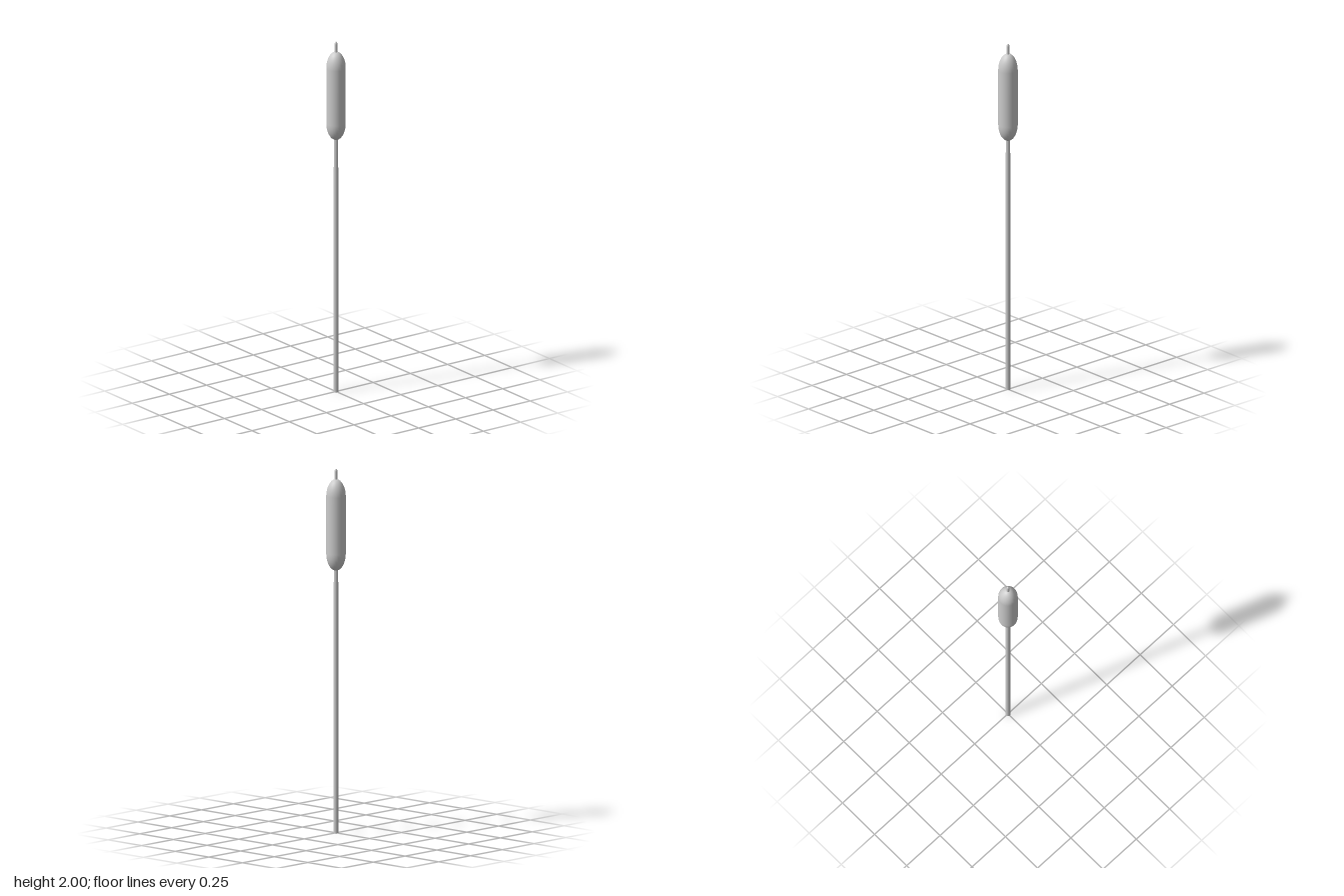
import * as THREE from 'three';

const SIDES = 24;

export function createModel() {
  const group = new THREE.Group();
  const material = new THREE.MeshStandardMaterial({ color: 0xcccccc });

  const add = (name, geometry, y = 0) => {
    const mesh = new THREE.Mesh(geometry, material);
    mesh.name = name;
    mesh.position.y = y;
    group.add(mesh);
  };

  // Capsule-like lathe with elliptical ends of height `cap`
  const spindle = (radius, bottom, top, cap) => {
    const points = [];
    const steps = 10;
    for (let i = 0; i <= steps; i++) {
      const a = (i / steps) * Math.PI / 2;
      points.push(new THREE.Vector2(radius * Math.sin(a), bottom + cap * (1 - Math.cos(a))));
    }
    for (let i = steps; i >= 0; i--) {
      const a = (i / steps) * Math.PI / 2;
      points.push(new THREE.Vector2(radius * Math.sin(a), top - cap * (1 - Math.cos(a))));
    }
    return new THREE.LatheGeometry(points, SIDES);
  };

  // Long, slightly tapered stalk reaching into the head
  add('stem', new THREE.CylinderGeometry(0.012, 0.014, 1.5, 16), 0.75);

  // Plump seed head
  add('seedHead', spindle(0.053, 1.44, 1.943, 0.095));

  // Thin spike with a rounded tip
  add('tipSpike', spindle(0.008, 1.9, 2, 0.016));

  return group;
}
